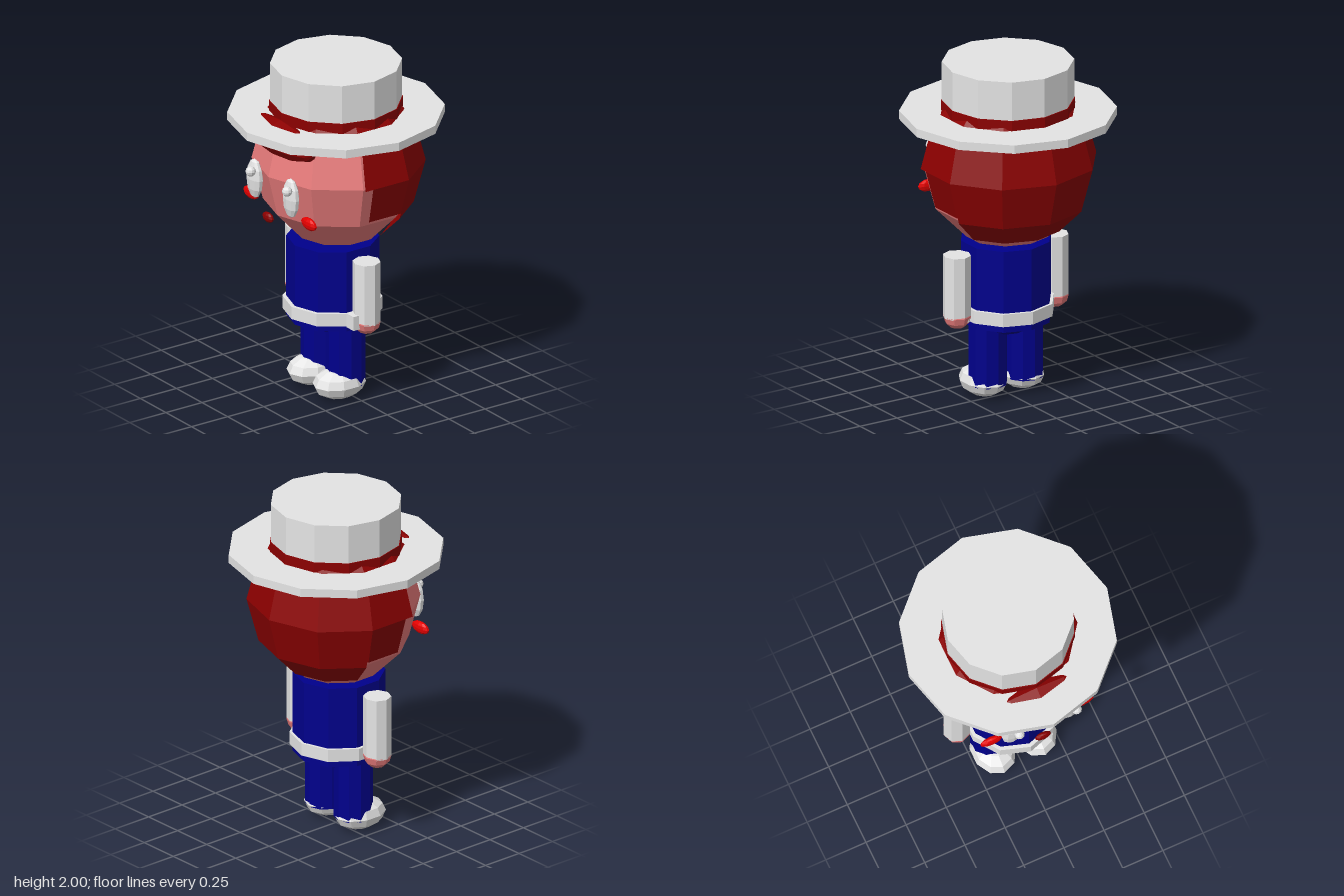
import * as THREE from 'three';

const flat = (name, color) => {
  const m = new THREE.MeshStandardMaterial({ color, flatShading: true });
  m.name = name;
  return m;
};

export function createModel() {
  const model = new THREE.Group();
  model.name = 'figure';
  const skin = flat('skin', 0xf08080);
  const white = flat('white', 0xe4e4e4);
  const navy = flat('navy', 0x00008b);
  const darkRed = flat('darkRed', 0x8b0000);
  const red = flat('red', 0xff0000);

  const add = (name, geometry, material, x, y, z) => {
    const mesh = new THREE.Mesh(geometry, material);
    mesh.name = name;
    mesh.position.set(x, y, z);
    model.add(mesh);
    return mesh;
  };
  // Low-poly ellipsoid with an edge facing front and back
  const ball = (rx, ry, rz, segments = 10, rings = 6) =>
    new THREE.SphereGeometry(1, segments, rings).rotateY(Math.PI / 2).scale(rx, ry, rz);
  // Upright prism given by bottom and top heights
  const prism = (name, r, y0, y1, sides, material, x = 0, z = 0) =>
    add(name, new THREE.CylinderGeometry(r, r, y1 - y0, sides), material, x, (y0 + y1) / 2, z);

  // Hat
  prism('hatBrim', 0.617, 1.66, 1.71, 12, white);
  prism('hatBand', 0.38, 1.67, 1.77, 12, darkRed);
  prism('hatCrown', 0.375, 1.76, 2, 12, white);

  // Head
  const headY = 1.4;
  add('head', ball(0.495, 0.5, 0.468), skin, 0, headY, 0);

  // Hair: a faceted shell around the head, cut back in steps around the face
  const hairRx = 0.52, hairRy = 0.515, hairRz = 0.5;
  const ringRadius = (h) => {
    const t = Math.PI / 6;
    for (let i = 0; i < 6; i++) {
      const a = Math.cos(i * t), b = Math.cos((i + 1) * t);
      if (h <= a && h >= b) {
        return THREE.MathUtils.lerp(Math.sin(i * t), Math.sin((i + 1) * t), (a - h) / (a - b));
      }
    }
    return 0;
  };
  const hairPoint = (deg, h) => {
    const local = ((deg % 36) + 36) % 36;
    const r = ringRadius(h) * Math.cos(Math.PI / 10) / Math.cos(THREE.MathUtils.degToRad(local - 18));
    const a = THREE.MathUtils.degToRad(deg);
    return [Math.sin(a) * r * hairRx, h * hairRy, -Math.cos(a) * r * hairRz];
  };
  // Each strip: upper height, lower height, half angle measured from the back
  const strips = [
    [1, 0.866, 180], [0.866, 0.5, 180], [0.5, 0.39, 180],
    [0.39, 0, 107], [0, -0.43, 101],
    [-0.43, -0.5, 71], [-0.5, -0.76, 71],
  ];
  const hairVertices = [];
  for (const [top, bottom, half] of strips) {
    const angles = [-half];
    for (let a = -180; a <= 180; a += 36) if (Math.abs(a) < half) angles.push(a);
    angles.push(half);
    for (let i = 0; i < angles.length - 1; i++) {
      const a = hairPoint(angles[i], top), b = hairPoint(angles[i + 1], top);
      const c = hairPoint(angles[i + 1], bottom), d = hairPoint(angles[i], bottom);
      hairVertices.push(...a, ...b, ...c, ...a, ...c, ...d);
    }
  }
  const hairGeometry = new THREE.BufferGeometry();
  hairGeometry.setAttribute('position', new THREE.Float32BufferAttribute(hairVertices, 3));
  hairGeometry.computeVertexNormals();
  darkRed.side = THREE.DoubleSide;
  add('hair', hairGeometry, darkRed, 0, headY, 0);
  add('fringe', new THREE.SphereGeometry(1, 10, 6).rotateZ(Math.PI / 2).scale(0.335, 0.105, 0.1),
    darkRed, 0, 1.625, 0.385);

  // Face
  add('mouth', ball(0.05, 0.03, 0.02), darkRed, 0, 1.155, 0.47);

  // Torso
  prism('torso', 0.263, 0.45, 0.935, 10, navy, 0, 0.022);
  prism('belt', 0.283, 0.49, 0.565, 10, white, 0, 0.025);
  add('hips', ball(0.25, 0.13, 0.235), navy, 0, 0.5, 0.022);

  // Paired parts
  for (const [side, s] of [['left', 1], ['right', -1]]) {
    add(side + 'Eye', ball(0.067, 0.12, 0.036), white, s * 0.177, 1.325, 0.437);
    add(side + 'EyeHighlight', ball(0.03, 0.03, 0.03), white, s * 0.178 + 0.026, 1.387, 0.483);
    add(side + 'Cheek', ball(0.071, 0.037, 0.022), red, s * 0.282, 1.19, 0.387);
    prism(side + 'Arm', 0.08, 0.52, 0.89, 8, white, s * 0.33, 0.022);
    add(side + 'Hand', ball(0.08, 0.075, 0.082, 8), skin, s * 0.33, 0.525, 0.022);
    prism(side + 'Leg', 0.112, 0.08, 0.46, 10, navy, s * 0.123, 0.022);
    add(side + 'Foot', ball(0.127, 0.09, 0.163), white, s * 0.127, 0.09, 0.067);
  }

  // Wrist block worn on the left hand
  add('wristBlock', new THREE.BoxGeometry(0.07, 0.085, 0.17), white, 0.32, 0.538, 0.045);

  return model;
}
